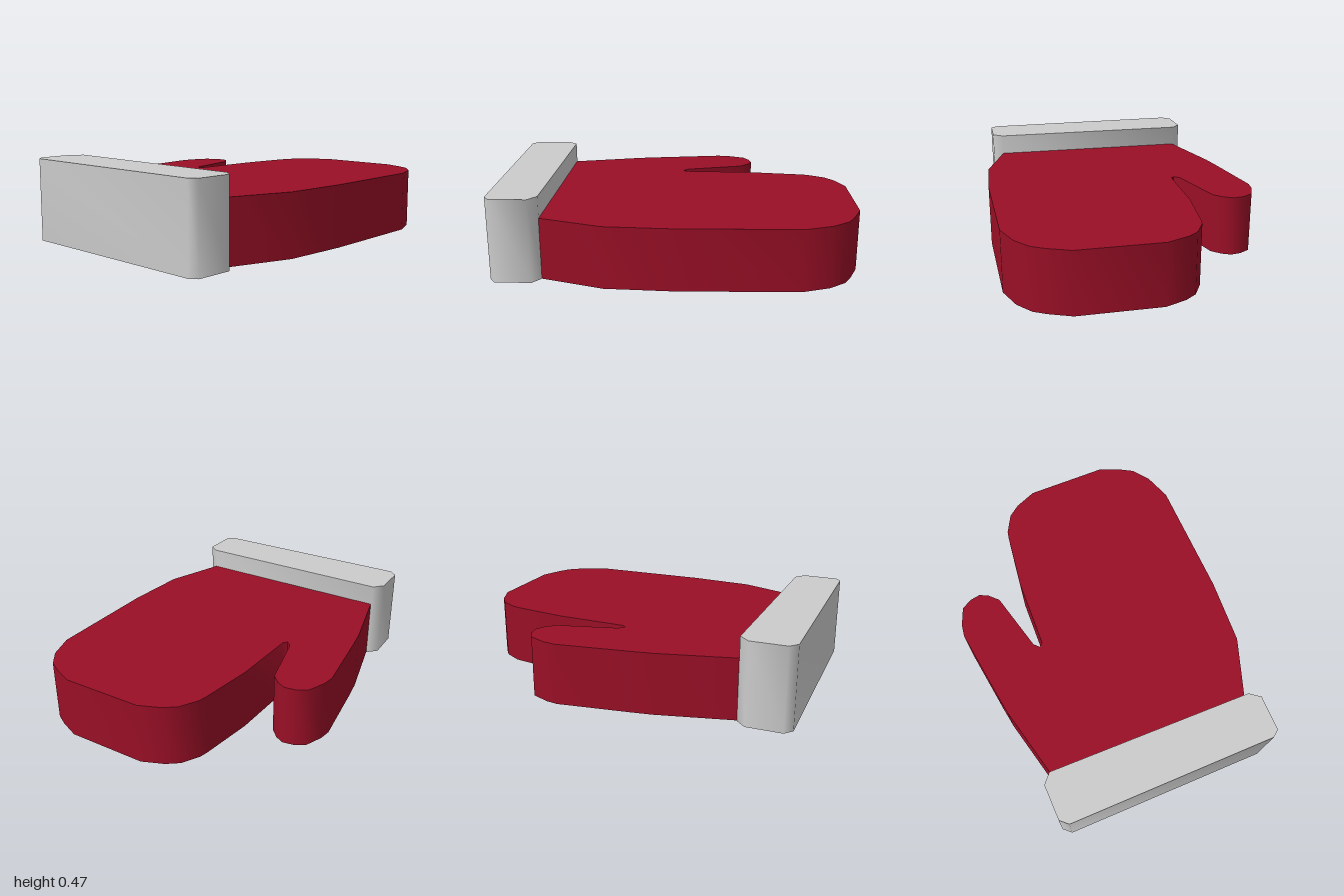
import * as THREE from 'three';
import { toCreasedNormals } from 'three/addons/utils/BufferGeometryUtils.js';

// Plan outlines as [x, z]
const mittenOutline = [
  // wrist and outer side
  [-0.56, 0.72], [0.61, 0.72], [0.73, 0.37], [0.75, 0], [0.735, -0.67],
  // rounded fingertips
  [0.68, -0.82], [0.61, -0.91], [0.54, -0.95], [0.42, -1], [-0.04, -1],
  [-0.16, -0.95], [-0.225, -0.9], [-0.28, -0.8], [-0.29, -0.75],
  // inner side and notch
  [-0.33, -0.44], [-0.34, -0.04], [-0.36, -0.02], [-0.39, -0.05],
  // thumb
  [-0.48, -0.39], [-0.53, -0.44], [-0.58, -0.465], [-0.64, -0.455],
  [-0.7, -0.42], [-0.74, -0.32], [-0.75, -0.25], [-0.69, 0.16], [-0.67, 0.28],
];
const cuffOutline = [
  [-0.62, 0.76], [-0.57, 0.705], [0.61, 0.715], [0.67, 0.76],
  [0.67, 0.96], [0.63, 0.99], [-0.57, 1], [-0.615, 0.96],
];

// Upright slab with a smooth wall and sharp rims
function slab(name, outline, height, color) {
  const shape = new THREE.Shape(outline.map(([x, z]) => new THREE.Vector2(x, -z)));
  const geometry = new THREE.ExtrudeGeometry(shape, { depth: height, bevelEnabled: false });
  geometry.rotateX(-Math.PI / 2);
  const material = new THREE.MeshStandardMaterial({ color });
  const mesh = new THREE.Mesh(toCreasedNormals(geometry, 1.1), material);
  mesh.name = name;
  return mesh;
}

export function createModel() {
  const group = new THREE.Group();
  group.name = 'mitten';
  group.add(
    slab('hand', mittenOutline, 0.345, 0x990f26),
    slab('cuff', cuffOutline, 0.465, 0xcccccc),
  );
  return group;
}
